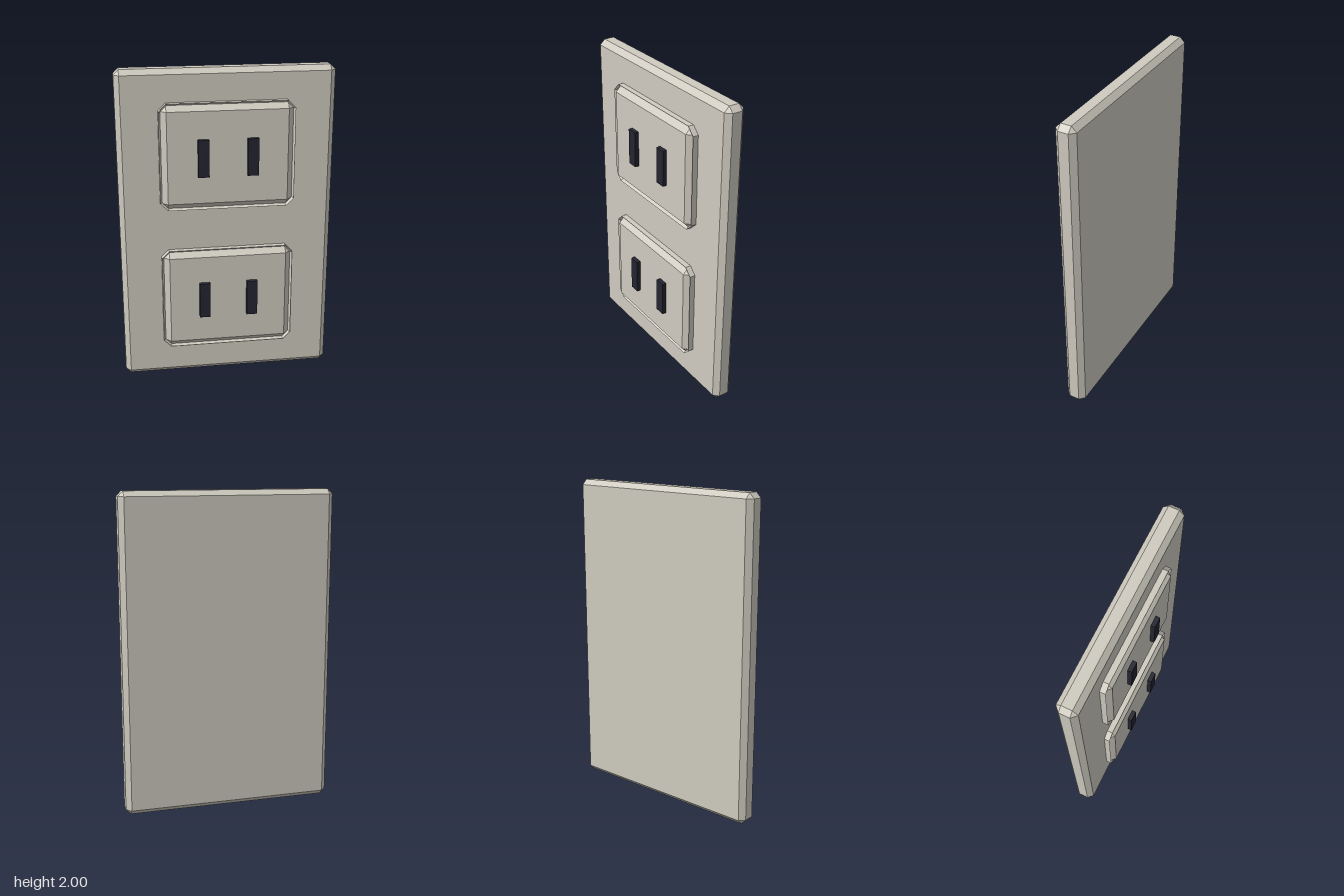
import * as THREE from 'three';
import { ConvexGeometry } from 'three/addons/geometries/ConvexGeometry.js';

const ivory = new THREE.MeshStandardMaterial({ color: 0xcfcbc0 });
ivory.name = 'warmGrey';
const dark = new THREE.MeshStandardMaterial({ color: 0x242531 });
dark.name = 'slotDark';

// Box with every edge cut once, leaving a small triangle at each corner
function chamferedBox(w, h, d, c) {
  const points = [];
  for (const sx of [-1, 1]) for (const sy of [-1, 1]) for (const sz of [-1, 1]) {
    for (let axis = 0; axis < 3; axis++) {
      const cut = [c, c, c];
      cut[axis] = 0;
      points.push(new THREE.Vector3(sx * (w / 2 - cut[0]), sy * (h / 2 - cut[1]), sz * (d / 2 - cut[2])));
    }
  }
  return new ConvexGeometry(points);
}

// Rectangle with cut corners, counter-clockwise seen from the front
function octagon(hw, hh, c, z) {
  return [[hw, -hh + c], [hw, hh - c], [hw - c, hh], [-hw + c, hh],
    [-hw, hh - c], [-hw, -hh + c], [-hw + c, -hh], [hw - c, -hh]].map(([x, y]) => [x, y, z]);
}

// Flat-shaded band joining successive rings
function bandGeometry(rings) {
  const pos = [];
  for (let r = 0; r < rings.length - 1; r++) {
    const n = rings[r].length;
    for (let i = 0; i < n; i++) {
      const j = (i + 1) % n;
      const a = rings[r][i], b = rings[r][j], c = rings[r + 1][j], d = rings[r + 1][i];
      pos.push(...a, ...b, ...c, ...a, ...c, ...d);
    }
  }
  const geometry = new THREE.BufferGeometry();
  geometry.setAttribute('position', new THREE.Float32BufferAttribute(pos, 3));
  geometry.computeVertexNormals();
  return geometry;
}

function addMesh(parent, name, geometry, material, x, y, z) {
  const mesh = new THREE.Mesh(geometry, material);
  mesh.name = name;
  mesh.position.set(x, y, z);
  parent.add(mesh);
}

export function createModel() {
  const model = new THREE.Group();
  model.name = 'wallSocket';

  // Wall plate
  addMesh(model, 'wallPlate', chamferedBox(1.333, 2, 0.129, 0.032), ivory, 0, 1, -0.0405);

  const rim = bandGeometry([
    octagon(0.415, 0.332, 0.046, 0.02),
    octagon(0.415, 0.332, 0.046, 0.06),
    octagon(0.403, 0.32, 0.041, 0.044),
  ]);
  const face = chamferedBox(0.828, 0.662, 0.117, 0.045);
  const slot = new THREE.BoxGeometry(0.068, 0.23, 0.034);

  // Two outlets, each with a raised rim, a bevelled face and two slots
  [['upper', 1.47], ['lower', 0.538]].forEach(([label, y]) => {
    const outlet = new THREE.Group();
    outlet.name = label + 'Outlet';
    outlet.position.y = y;
    addMesh(outlet, 'outletRim', rim, ivory, 0, 0, 0);
    addMesh(outlet, 'outletFace', face, ivory, 0, 0, 0.0185);
    for (const side of [-1, 1]) {
      addMesh(outlet, side > 0 ? 'leftSlot' : 'rightSlot', slot, dark, side * 0.151, 0, 0.087);
    }
    model.add(outlet);
  });

  return model;
}
